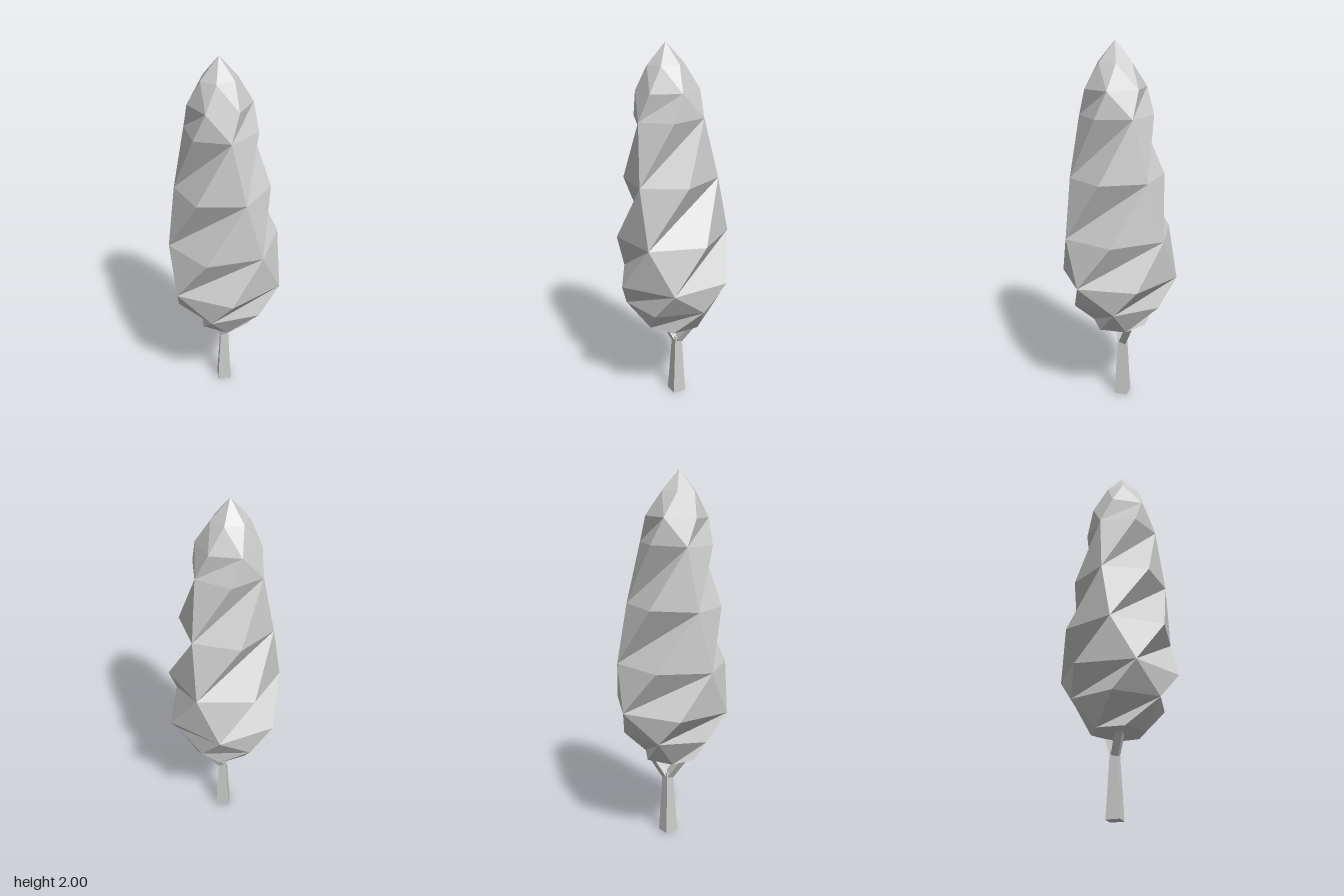
import * as THREE from 'three';

const material = new THREE.MeshStandardMaterial({ color: 0xcccccc, flatShading: true });
const SIDES = 6;

// Twisted six-sided rings, top to bottom: [height, radius, centre z, start angle in degrees]
const RINGS = [
  [1.89, 0.098, 0.043, -4],
  [1.76, 0.166, 0.033, -45],
  [1.62, 0.196, 0.028, -26],
  [1.295, 0.254, 0.018, 21],
  [0.98, 0.302, 0.007, 67],
  [0.74, 0.322, 0, 102],
  [0.593, 0.264, 0, 125],
  [0.445, 0.15, -0.005, 165],
];
const TILT = 0.035; // rings dip slightly towards the front

function foliageGeometry() {
  const positions = [0, 2, 0.043];
  for (const [y, r, cz, start] of RINGS) {
    for (let i = 0; i < SIDES; i++) {
      const a = THREE.MathUtils.degToRad(start + (i * 360) / SIDES);
      const z = r * Math.sin(a);
      positions.push(r * Math.cos(a), y - TILT * z, cz + z);
    }
  }
  positions.push(0, 0.4, 0);
  const last = positions.length / 3 - 1;
  const at = (ring, i) => 1 + ring * SIDES + (i % SIDES);
  const index = [];
  for (let i = 0; i < SIDES; i++) {
    // Pointed tip and shallow underside
    index.push(0, at(0, i + 1), at(0, i));
    index.push(last, at(RINGS.length - 1, i), at(RINGS.length - 1, i + 1));
    // Diagonals alternate around and down the tree, making the spiral folds
    for (let k = 0; k < RINGS.length - 1; k++) {
      const u0 = at(k, i), u1 = at(k, i + 1);
      const l0 = at(k + 1, i), l1 = at(k + 1, i + 1);
      if (k === 0 || (k + i) % 2 === 1) index.push(u0, l1, l0, u0, u1, l1);
      else index.push(u0, u1, l0, u1, l1, l0);
    }
  }
  const geometry = new THREE.BufferGeometry();
  geometry.setAttribute('position', new THREE.Float32BufferAttribute(positions, 3));
  geometry.setIndex(index);
  const flat = geometry.toNonIndexed();
  flat.computeVertexNormals();
  return flat;
}

// Tapered four-sided limb between two points
function limb(name, from, to, r0, r1) {
  const a = new THREE.Vector3(...from);
  const b = new THREE.Vector3(...to);
  const dir = b.clone().sub(a);
  const mesh = new THREE.Mesh(new THREE.CylinderGeometry(r1, r0, dir.length(), 4), material);
  mesh.position.copy(a).add(b).multiplyScalar(0.5);
  mesh.quaternion.setFromUnitVectors(new THREE.Vector3(0, 1, 0), dir.normalize());
  mesh.name = name;
  return mesh;
}

export function createModel() {
  const tree = new THREE.Group();
  tree.name = 'cypressTree';

  const foliage = new THREE.Mesh(foliageGeometry(), material);
  foliage.name = 'foliage';
  tree.add(foliage);

  // Trunk forking into two short branches that enter the foliage
  tree.add(limb('trunk', [-0.015, 0, -0.013], [-0.015, 0.35, -0.015], 0.053, 0.029));
  tree.add(limb('frontBranch', [-0.015, 0.33, -0.008], [-0.03, 0.46, 0.08], 0.027, 0.03));
  tree.add(limb('backBranch', [-0.015, 0.33, -0.022], [-0.005, 0.46, -0.11], 0.027, 0.03));
  return tree;
}
